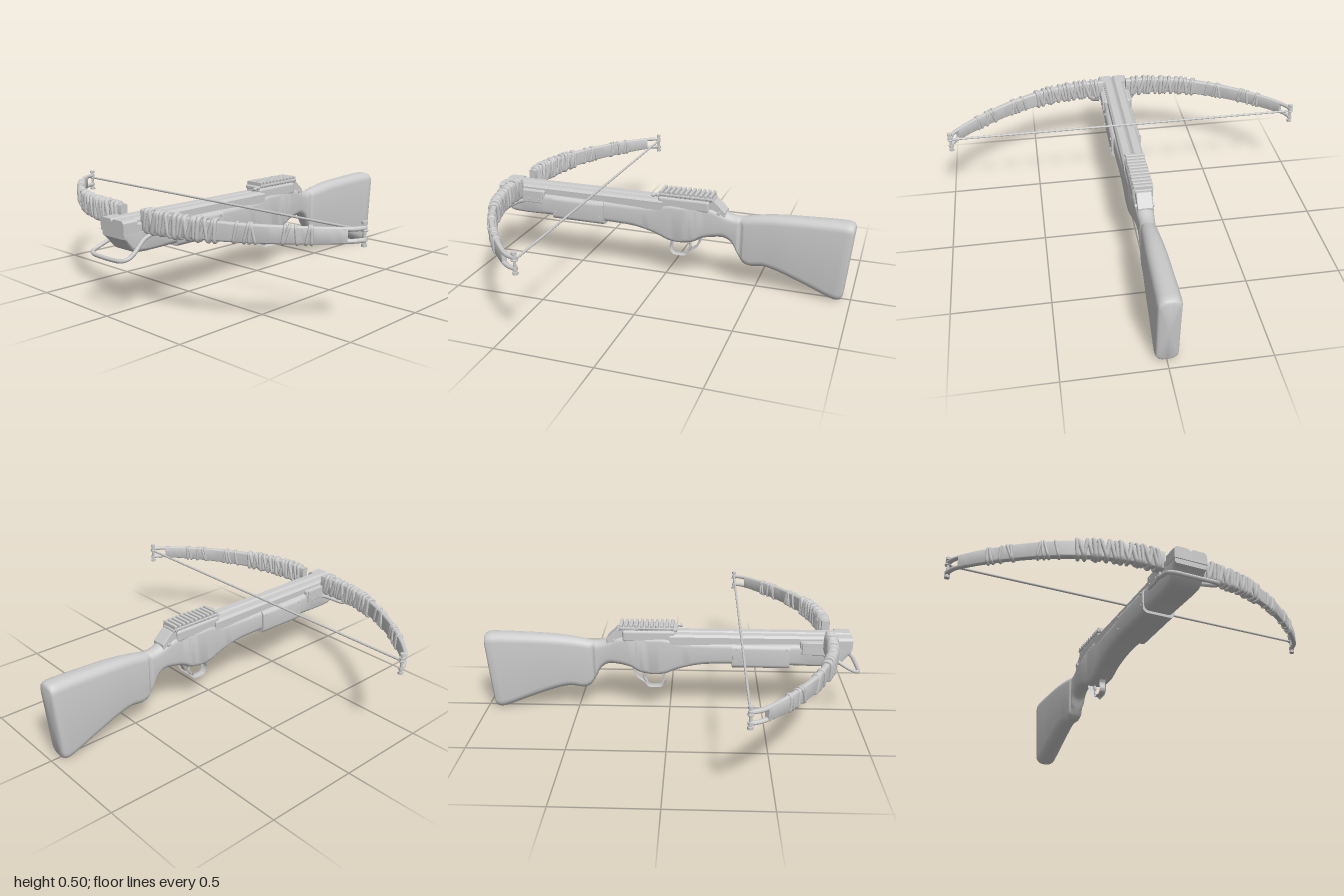
import * as THREE from 'three';
import { toCreasedNormals } from 'three/addons/utils/BufferGeometryUtils.js';
import { RoundedBoxGeometry } from 'three/addons/geometries/RoundedBoxGeometry.js';

const V = (x, y, z) => new THREE.Vector3(x, y, z);
const material = new THREE.MeshStandardMaterial({ color: 0xcccccc, roughness: 0.7 });
const UP = V(0, 1, 0), X = V(1, 0, 0);

// Rounded-rectangle ring around a centre, facing along dir
function ring(c, dir, hw, hh, r, steps = 5) {
  const side = dir.clone().cross(UP).normalize(), pts = [];
  r = Math.min(r, hw * 0.98, hh * 0.98);
  [[1, 1], [-1, 1], [-1, -1], [1, -1]].forEach(([su, sv], q) => {
    for (let k = 0; k <= steps; k++) {
      const a = (q + k / steps) * Math.PI / 2;
      const u = su * (hw - r) + r * Math.cos(a), v = sv * (hh - r) + r * Math.sin(a);
      pts.push(c.clone().addScaledVector(side, u).addScaledVector(UP, v));
    }
  });
  return pts;
}

// Skin through a row of rings with closed ends
function loft(rings, crease = 0.6) {
  const n = rings[0].length, last = rings.length - 1, pos = [], idx = [];
  const mid = (R) => R.reduce((s, p) => s.add(p), V(0, 0, 0)).divideScalar(n);
  for (const p of [...rings.flat(), mid(rings[0]), mid(rings[last])]) pos.push(p.x, p.y, p.z);
  const c0 = n * rings.length, c1 = c0 + 1;
  for (let j = 0; j < n; j++) {
    const k = (j + 1) % n;
    for (let i = 0; i < last; i++) {
      const a = i * n + j, b = i * n + k;
      idx.push(a, a + n, b, b, a + n, b + n);
    }
    idx.push(c0, j, k, c1, last * n + k, last * n + j);
  }
  const g = new THREE.BufferGeometry();
  g.setAttribute('position', new THREE.Float32BufferAttribute(pos, 3));
  g.setIndex(idx);
  return toCreasedNormals(g, crease);
}

// Block running along x with an optional groove down the middle of its top
function deckGeometry(hw, y0, y1, x0, x1) {
  const s = new THREE.Shape();
  [[-hw, y0], [hw, y0], [hw, y1 - 0.012], [hw - 0.012, y1], [0.012, y1], [0, y1 - 0.012],
    [-0.012, y1], [-hw + 0.012, y1], [-hw, y1 - 0.012]].forEach(([a, b], i) => (i ? s.lineTo(a, b) : s.moveTo(a, b)));
  return new THREE.ExtrudeGeometry(s, { depth: x1 - x0, bevelEnabled: false }).rotateY(Math.PI / 2).translate(x0, 0, 0);
}

export function createModel() {
  const model = new THREE.Group();
  const add = (name, geo, parent = model) => {
    const m = new THREE.Mesh(geo, material);
    m.name = name;
    parent.add(m);
    return m;
  };
  const box = (name, x0, x1, y0, y1, z0, z1, r = 0.005) => add(name,
    new RoundedBoxGeometry(x1 - x0, y1 - y0, z1 - z0, 2, r).translate((x0 + x1) / 2, (y0 + y1) / 2, (z0 + z1) / 2));
  const tube = (name, pts, r, closed = false, seg = 48, parent = model) => add(name,
    new THREE.TubeGeometry(new THREE.CatmullRomCurve3(pts, closed, 'centripetal'), seg, r, 8, closed), parent);

  // Stock: x, bottom, top, half width, corner radius, end slant
  const stock = [
    [-0.945, 0.36, 0.405, 0.08, 0.01, 0], [-0.93, 0.345, 0.405, 0.08, 0.015, 0], [-0.885, 0.293, 0.405, 0.08, 0.02, 0],
    [-0.85, 0.285, 0.405, 0.08, 0.025, 0], [-0.6, 0.285, 0.405, 0.077, 0.028, 0], [-0.3, 0.285, 0.405, 0.071, 0.028, 0],
    [-0.15, 0.275, 0.405, 0.066, 0.028, 0], [-0.04, 0.245, 0.41, 0.061, 0.028, 0], [0.03, 0.217, 0.43, 0.06, 0.028, 0],
    [0.1, 0.212, 0.43, 0.058, 0.028, 0], [0.165, 0.225, 0.43, 0.056, 0.03, 0], [0.21, 0.25, 0.43, 0.053, 0.03, 0],
    [0.27, 0.262, 0.428, 0.049, 0.035, 0], [0.33, 0.262, 0.405, 0.044, 0.038, 0], [0.37, 0.235, 0.393, 0.041, 0.038, 0],
    [0.4, 0.18, 0.39, 0.04, 0.038, 0], [0.43, 0.135, 0.392, 0.04, 0.038, 0], [0.465, 0.12, 0.4, 0.042, 0.04, 0],
    [0.54, 0.128, 0.412, 0.046, 0.042, 0], [0.62, 0.112, 0.42, 0.05, 0.043, 0], [0.78, 0.055, 0.427, 0.054, 0.044, 0.02],
    [0.91, 0.008, 0.43, 0.057, 0.045, 0.07], [0.95, 0.001, 0.428, 0.057, 0.045, 0.09], [0.97, 0.008, 0.42, 0.053, 0.042, 0.09],
    [0.979, 0.028, 0.4, 0.04, 0.036, 0.09],
  ];
  const spine = new THREE.CatmullRomCurve3(stock.map(([x, b, t]) => V(x, b, t)), false, 'centripetal');
  const girth = new THREE.CatmullRomCurve3(stock.map((s) => V(s[3], s[4], s[5])), false, 'centripetal');
  const rings = [], steps = (stock.length - 1) * 4;
  for (let i = 0; i <= steps; i++) {
    const s = spine.getPoint(i / steps), g = girth.getPoint(i / steps);
    const R = ring(V(s.x, (s.y + s.z) / 2, 0), X, g.x, (s.z - s.y) / 2, g.y);
    R.forEach((p) => { p.x += g.z * (p.y - 0.24); });
    rings.push(R);
  }
  add('stock', loft(rings));

  // Grooved bolt track and wider nose
  add('boltTrack', deckGeometry(0.06, 0.39, 0.446, -0.9, 0.0));
  add('nose', deckGeometry(0.084, 0.385, 0.446, -0.95, -0.87));
  box('noseShoulder', -0.9, -0.68, 0.38, 0.425, -0.08, 0.08, 0.01);

  // Metal sleeve under the fore-end, and mounting plates
  add('foreEndSleeve', loft([-0.63, -0.33].map((x) => ring(V(x, 0.336, 0), X, 0.084, 0.065, 0.025))));
  for (const s of [1, -1]) {
    const plate = (name, x0, x1, y0, y1) => box(name, x0, x1, y0, y1, s * 0.081 - 0.007, s * 0.081 + 0.007);
    plate('bowMountPlate', -0.81, -0.69, 0.355, 0.425);
    for (const [x, y, z] of [[-0.71, 0.375, 0.088], [-0.71, 0.405, 0.088], [-0.77, 0.375, 0.088], [-0.61, 0.38, 0.085],
      [-0.35, 0.38, 0.085], [-0.61, 0.315, 0.085], [-0.35, 0.315, 0.085]])
      add('screw', new THREE.CylinderGeometry(0.006, 0.007, 0.008, 12).rotateX(Math.PI / 2).translate(x, y, s * z));
  }

  // Receiver cover, sloped rear block and sighting rail
  box('receiver', -0.03, 0.25, 0.4, 0.464, -0.054, 0.054, 0.014);
  const rear = new THREE.Shape([[0.2, 0.39], [0.33, 0.38], [0.33, 0.41], [0.275, 0.462], [0.2, 0.464]].map(([x, y]) => new THREE.Vector2(x, y)));
  add('rearBlock', new THREE.ExtrudeGeometry(rear, { depth: 0.07, bevelSize: 0.004, bevelThickness: 0.004, bevelSegments: 2 }).translate(0, 0, -0.035));
  box('railBase', -0.04, 0.27, 0.458, 0.476, -0.045, 0.045);
  for (let i = 0; i < 11; i++) {
    const x = -0.013 + i * 0.0268;
    box('railTooth', x - 0.008, x + 0.008, 0.466, 0.497, -0.05, 0.05, 0.004);
  }
  for (const s of [1, -1]) box('railLip', -0.02, 0.265, 0.47, 0.482, s * 0.046 - 0.006, s * 0.046 + 0.006, 0.004);
  tube('safetyLever', [V(0, 0.46, 0.03), V(-0.03, 0.468, 0.035), V(-0.06, 0.465, 0.04)], 0.007, false, 12);
  add('leverKnob', new THREE.SphereGeometry(0.01, 12, 8).translate(-0.058, 0.465, 0.04));
  add('crossPin', new THREE.CylinderGeometry(0.01, 0.01, 0.1, 14).rotateX(Math.PI / 2).translate(0.3, 0.405, 0));

  // Trigger guard strap and trigger
  const guard = new THREE.CatmullRomCurve3([[0.015, 0.225], [0.035, 0.2], [0.03, 0.16], [0.045, 0.135], [0.08, 0.13], [0.115, 0.135],
    [0.135, 0.16], [0.165, 0.18], [0.185, 0.205], [0.2, 0.255]].map(([x, y]) => V(x, y, 0)), false, 'centripetal');
  const strap = [];
  for (let i = 0; i <= 48; i++) {
    const p = guard.getPoint(i / 48), t = guard.getTangent(i / 48), n = V(-t.y, t.x, 0);
    strap.push([[0.005, 0.016], [0.005, -0.016], [-0.005, -0.016], [-0.005, 0.016]].map(([a, z]) => p.clone().addScaledVector(n, a).add(V(0, 0, z))).reverse());
  }
  add('triggerGuard', loft(strap));
  tube('trigger', [V(0.145, 0.225, 0), V(0.137, 0.2, 0), V(0.14, 0.18, 0), V(0.125, 0.155, 0)], 0.007, false, 20);

  // Foot stirrup
  const half = [[-0.8, 0.362, 0.088], [-0.84, 0.348, 0.09], [-0.93, 0.3, 0.122], [-0.965, 0.285, 0.125], [-0.985, 0.277, 0.105], [-0.99, 0.274, 0.06]];
  tube('stirrup', [...half.map((p) => V(...p)), ...half.map(([x, y, z]) => V(x, y, -z)).reverse()], 0.01, false, 80);

  // Bow limbs with forked tips and cord wrapping
  for (const s of [1, -1]) {
    const limb = new THREE.Group();
    limb.name = s > 0 ? 'leftLimb' : 'rightLimb';
    model.add(limb);
    const path = new THREE.CatmullRomCurve3([[-0.825, 0.07], [-0.823, 0.2], [-0.79, 0.38], [-0.7, 0.59], [-0.585, 0.765],
      [-0.485, 0.885], [-0.42, 0.945], [-0.37, 0.966]].map(([x, z]) => V(x, 0.436, s * z)));
    const width = (t) => 0.018 - 0.007 * t, height = (t) => 0.05 - 0.015 * t;
    const strip = (t0, t1, n, hh, dy) => loft(Array.from({ length: n + 1 }, (_, i) => {
      const t = t0 + (t1 - t0) * i / n;
      return ring(path.getPointAt(t).add(V(0, dy, 0)), path.getTangentAt(t), width(t), hh ? hh : height(t), 0.01);
    }));
    add('limbBody', strip(0, 0.92, 40, 0, 0), limb);
    for (const dy of [0.026, -0.026]) add('limbFork', strip(0.9, 1, 8, 0.01, dy), limb);

    const wrap = (t, tilt, r, grow) => {
      const dir = path.getTangentAt(t), c = path.getPointAt(t);
      const pts = ring(c, dir, width(t) + grow, height(t) + grow, 0.015, 3);
      pts.forEach((p) => p.addScaledVector(dir, (p.y - c.y) * tilt));
      tube('cordWrap', pts, r, true, 40, limb);
    };
    for (let i = 0; i < 20; i++) wrap(0.035 + i * 0.0187, [0.1, 0.25, -0.15, 0.3, 0.05][i % 5], 0.009 + 0.002 * (i % 3 === 0), 0.001 + 0.003 * (i % 2));
    for (const [t, tilt] of [[0.475, 0.2], [0.52, 0.25], [0.535, 0.1], [0.55, -0.2], [0.67, 0.15], [0.68, 0.35], [0.72, -0.1], [0.765, 0.2], [0.78, 0]])
      wrap(t, tilt, 0.007, 0.001);

    // Tip pin with knobs
    const tip = [-0.373, 0.436, s * 0.963];
    add('tipPin', new THREE.CylinderGeometry(0.007, 0.007, 0.1, 12).translate(...tip), limb);
    for (const y of [0.388, 0.41, 0.462, 0.484])
      add('tipKnob', new THREE.CylinderGeometry(0.013, 0.013, 0.013, 14).translate(tip[0], y, tip[2]), limb);
    add('stringLoop', new THREE.TorusGeometry(0.011, 0.005, 8, 16).rotateX(Math.PI / 2).translate(tip[0], 0.451, tip[2]), limb);
  }
  add('bowString', new THREE.CylinderGeometry(0.006, 0.006, 1.92, 10).rotateX(Math.PI / 2).translate(-0.373, 0.451, 0));

  return model;
}
